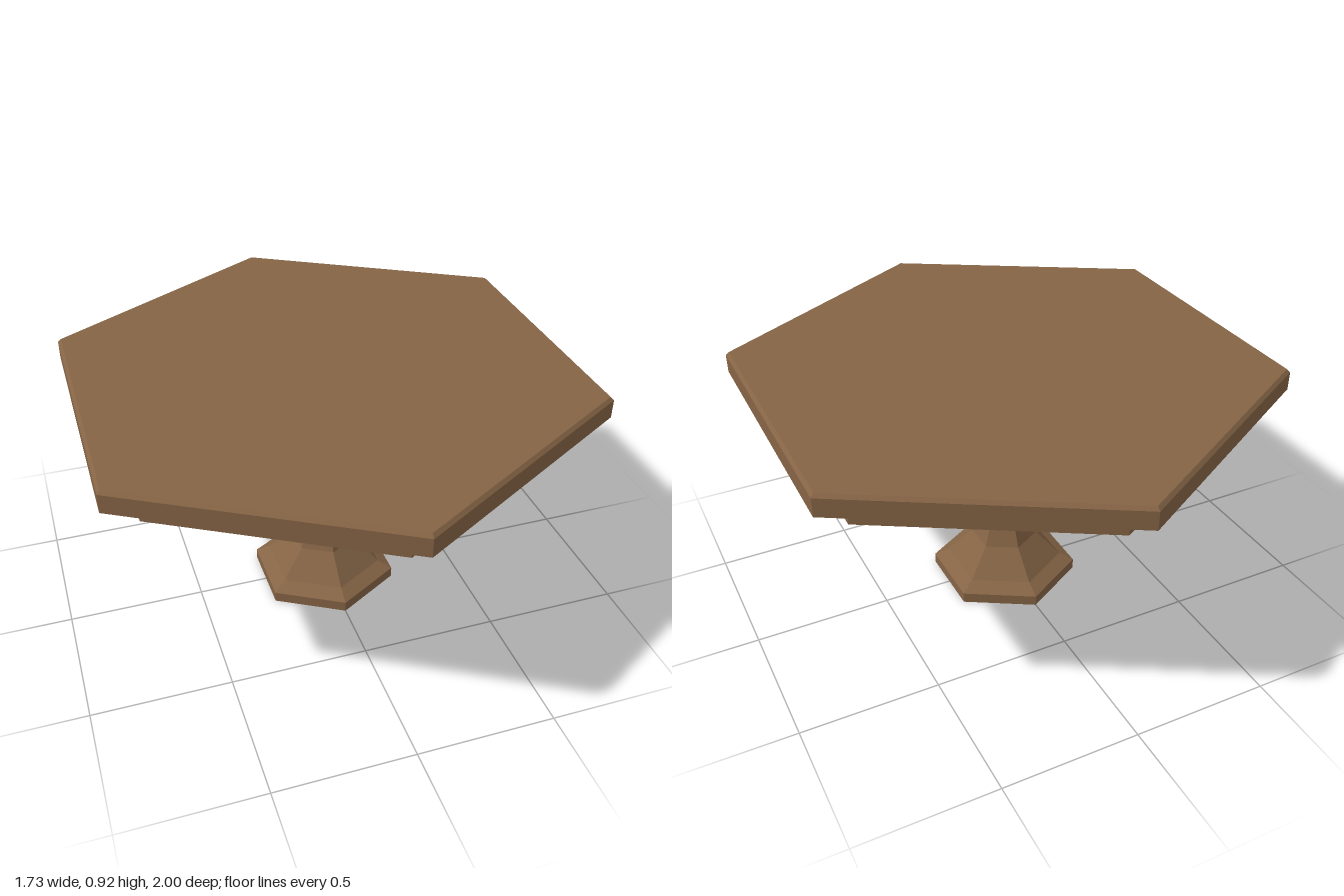
import * as THREE from 'three';

const SIDES = 6;

export function createModel() {
  const model = new THREE.Group();
  model.name = 'hexagonalTable';

  const wood = new THREE.MeshStandardMaterial({
    color: 0x856445, flatShading: true, side: THREE.DoubleSide,
  });
  wood.name = 'brown wood';

  // Six-sided turned part from [radius, height] pairs, corners on the z axis
  function hexPart(name, profile) {
    const points = profile.map(([r, y]) => new THREE.Vector2(r, y));
    const mesh = new THREE.Mesh(new THREE.LatheGeometry(points, SIDES), wood);
    mesh.name = name;
    model.add(mesh);
  }

  // Closed slab with a narrow bevel around the upper edge
  hexPart('tabletop', [[0, 0.838], [1, 0.838], [1, 0.905], [0.987, 0.917], [0, 0.917]]);

  // Thin skirt, open underneath
  hexPart('apron', [[0.858, 0.725], [0.858, 0.838]]);

  // Hollow pedestal flaring to a wide foot, open at the floor
  hexPart('pedestal', [
    [0.275, 0], [0.275, 0.04], [0.22, 0.07], [0.125, 0.17],
    [0.083, 0.27], [0.07, 0.48], [0.092, 0.735], [0.113, 0.838],
  ]);

  return model;
}
